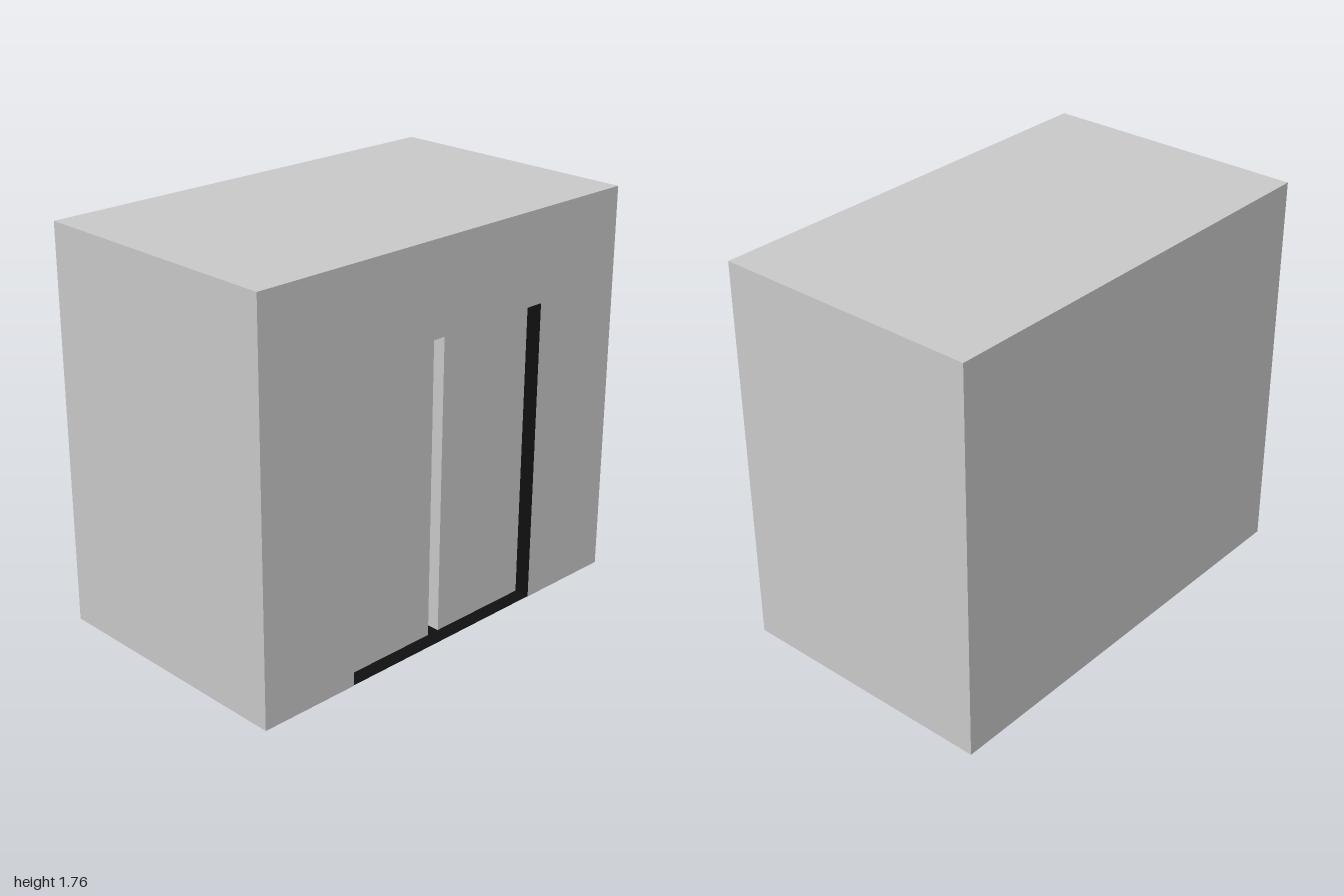
import * as THREE from 'three';

const W = 2, H = 1.765, D = 1.2;          // cabin size
const DOOR_X = 0.53, DOOR_H = 1.36;       // half width and height of the doorway
const SETBACK = 0.07, GAP = 0.03;         // door recess and half the gap between doors
const FLOOR = 0.002;                      // dark floor lies just above the underside

// Box standing on y = 0 with its +z face left out; inward turns the faces inside
function openBox(w, h, d, inward = false) {
  const geo = new THREE.BoxGeometry(w, h, d).translate(0, h / 2, 0);
  const index = Array.from(geo.index.array).filter((_, i) => i < 24 || i >= 30);
  geo.clearGroups();
  geo.setIndex(inward ? index.reverse() : index);
  geo.computeVertexNormals();
  return geo;
}

export function createModel() {
  const model = new THREE.Group();
  model.name = 'elevatorCabin';
  const grey = new THREE.MeshStandardMaterial({ color: 0xcccccc });
  const dark = new THREE.MeshStandardMaterial({ color: 0x101010 });

  const add = (name, geo, material, x = 0, y = 0, z = 0) => {
    const mesh = new THREE.Mesh(geo, material);
    mesh.name = name;
    mesh.position.set(x, y, z);
    model.add(mesh);
  };

  // Outer shell: sides, back, roof and underside
  add('shell', openBox(W, H, D), grey);

  // Front wall with the doorway cut out
  const wall = new THREE.Shape([
    [-W / 2, 0], [-DOOR_X, 0], [-DOOR_X, DOOR_H], [DOOR_X, DOOR_H],
    [DOOR_X, 0], [W / 2, 0], [W / 2, H], [-W / 2, H],
  ].map(([x, y]) => new THREE.Vector2(x, y)));
  add('frontWall', new THREE.ShapeGeometry(wall), grey, 0, 0, D / 2);

  // Dark interior behind the doorway
  const depth = D - 0.04;
  add('interior', openBox(DOOR_X * 2, DOOR_H - FLOOR, depth, true), dark, 0, FLOOR, D / 2 - depth / 2);

  // Two sliding doors, running slightly into the wall at the sides and top
  const slide = 0.01, thick = 0.1;
  const doorW = DOOR_X - GAP + slide, doorH = DOOR_H - FLOOR + slide;
  for (const [name, side] of [['leftDoor', 1], ['rightDoor', -1]]) {
    add(name, new THREE.BoxGeometry(doorW, doorH, thick), grey,
      side * (GAP + doorW / 2), FLOOR + doorH / 2, D / 2 - SETBACK - thick / 2);
  }
  return model;
}
